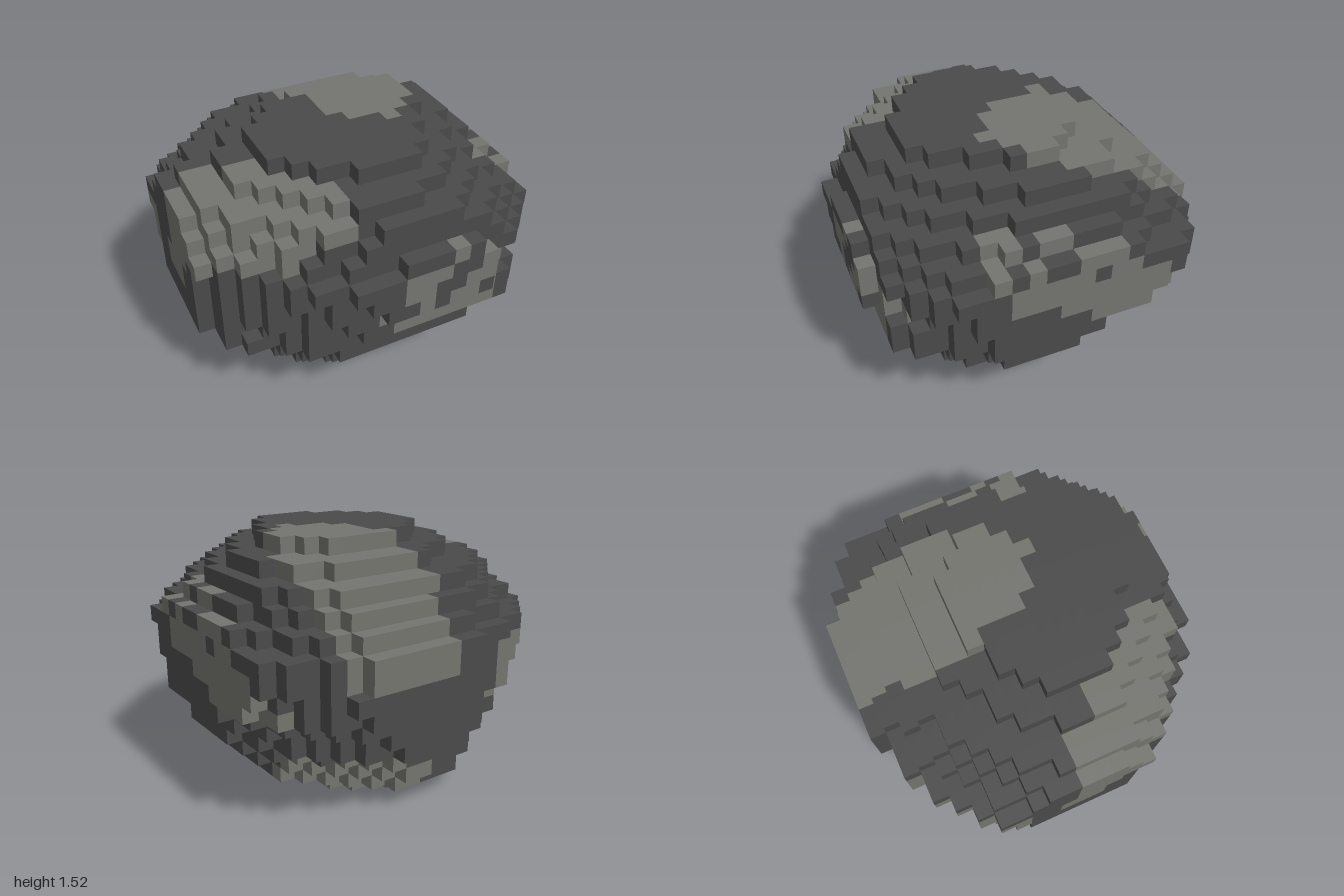
import * as THREE from 'three';

const N = 21, LAYERS = 16, U = 2 / N;

// Extents of each layer from the ground up: x from, x to, z from, z to (in blocks)
const extents = [
  [7, 15, 5, 13], [4, 17, 3, 16], [2, 18, 2, 17], [1, 19, 2, 18],
  [1, 20, 1, 19], [0, 20, 1, 19], [0, 21, 1, 20], [0, 21, 0, 20],
  [0, 21, 0, 21], [0, 21, 0, 21], [0, 21, 0, 21], [0, 21, 1, 21],
  [0, 20, 2, 20], [1, 19, 3, 20], [3, 18, 5, 19], [5, 16, 7, 17],
];
// Size in x and z of the worn corners: back -x, back +x, front -x, front +x
const corners = [
  [2, 2, 5, 5, 2, 2, 2, 3], [5, 4, 7, 7, 5, 5, 4, 5],
  [8, 7, 8, 9, 7, 7, 5, 6], [9, 7, 8, 9, 8, 7, 6, 6],
  [9, 8, 8, 10, 8, 7, 5, 7], [9, 8, 8, 9, 7, 6, 4, 6],
  [9, 7, 6, 9, 10, 7, 4, 8], [10, 7, 6, 6, 9, 7, 4, 8],
  [10, 7, 6, 5, 11, 8, 7, 7], [10, 6, 7, 4, 10, 8, 7, 6],
  [10, 6, 7, 4, 9, 8, 7, 5], [10, 7, 6, 7, 12, 8, 8, 7],
  [9, 8, 5, 7, 10, 8, 5, 8], [8, 7, 4, 5, 10, 7, 6, 9],
  [7, 6, 4, 4, 7, 7, 7, 9], [6, 4, 3, 3, 6, 4, 4, 8],
];

// Light stone patches as boxes of blocks: x from, to, y from, to, z from, to
const patches = {
  topBackPatch: [
    [10, 17, 9, 16, 0, 9], [9, 10, 12, 16, 3, 8], [10, 16, 15, 16, 9, 11],
    [11, 15, 15, 16, 11, 12], [13, 14, 15, 16, 12, 13],
  ],
  shoulderPatch: [
    [0, 3, 11, 14, 10, 17], [3, 5, 11, 15, 12, 20], [5, 6, 12, 15, 12, 20],
    [6, 8, 13, 15, 14, 20], [0, 1, 10, 11, 10, 17],
  ],
  frontPatch: [
    [11, 16, 5, 6, 17, 21], [10, 17, 6, 7, 17, 21], [9, 11, 7, 8, 17, 21],
    [12, 17, 7, 8, 17, 21], [11, 12, 8, 9, 17, 21], [13, 15, 8, 9, 17, 21],
    [16, 18, 8, 9, 18, 21], [10, 12, 9, 10, 17, 21], [14, 17, 9, 10, 18, 21],
    [10, 13, 10, 11, 17, 21], [15, 16, 10, 11, 17, 21], [13, 14, 11, 12, 17, 21],
  ],
  sidePatch: [
    [18, 21, 7, 8, 3, 9], [18, 21, 8, 9, 4, 11], [18, 21, 9, 10, 4, 14],
    [18, 21, 10, 11, 6, 8], [18, 21, 10, 11, 9, 14], [18, 21, 11, 12, 7, 10],
    [18, 21, 11, 12, 12, 13], [18, 21, 11, 12, 14, 15],
    [18, 21, 12, 13, 10, 12], [18, 21, 12, 13, 13, 15],
  ],
  undersidePatch: [
    [10, 16, 0, 1, 5, 9], [10, 18, 1, 2, 3, 9], [10, 19, 2, 3, 2, 8],
    [12, 19, 3, 4, 2, 5], [12, 19, 3, 4, 6, 7],
  ],
  backCornerPatch: [[2, 6, 6, 10, 1, 6], [0, 2, 6, 10, 3, 7]],
  flankPatch: [[0, 1, 7, 9, 9, 12], [0, 1, 9, 10, 10, 13]],
  lowSpot: [[5, 6, 1, 3, 11, 18]],
};

// Is there a block at this grid cell?
function solid(i, j, k) {
  if (j < 0 || j >= LAYERS) return false;
  const [x0, x1, z0, z1] = extents[j];
  const x = i + 0.5, z = k + 0.5;
  if (x < x0 || x > x1 || z < z0 || z > z1) return false;
  for (let c = 0; c < 4; c++) {
    const wx = corners[j][c * 2], wz = corners[j][c * 2 + 1];
    const dx = wx - (c % 2 ? x1 - x : x - x0);
    const dz = wz - (c < 2 ? z - z0 : z1 - z);
    if (dx > 0 && dz > 0 && (dx / wx) ** 1.5 + (dz / wz) ** 1.5 > 1) return false;
  }
  return true;
}

function patchAt(i, j, k) {
  for (const [name, boxes] of Object.entries(patches)) {
    if (boxes.some(([a, b, c, d, e, f]) =>
      i >= a && i < b && j >= c && j < d && k >= e && k < f)) return name;
  }
  return 'boulder';
}

// Add one square for every open side of a block
function addBlock(out, cell) {
  for (let axis = 0; axis < 3; axis++) {
    for (const side of [0, 1]) {
      const next = [...cell];
      next[axis] += side ? 1 : -1;
      if (solid(...next)) continue;
      const u = (axis + 1) % 3, v = (axis + 2) % 3;
      const quad = [[0, 0], [1, 0], [1, 1], [0, 1]].map(([a, b]) => {
        const p = [...cell];
        p[axis] += side;
        p[u] += a;
        p[v] += b;
        return [p[0] * U - 1, p[1] * U, p[2] * U - 1];
      });
      if (!side) quad.reverse();
      for (const n of [0, 1, 2, 0, 2, 3]) out.push(...quad[n]);
    }
  }
}

export function createModel() {
  const group = new THREE.Group();
  group.name = 'blockBoulder';
  const darkStone = new THREE.MeshStandardMaterial({ color: 0x4a4a4a });
  darkStone.name = 'darkStone';
  const lightStone = new THREE.MeshStandardMaterial({ color: 0x74746f });
  lightStone.name = 'lightStone';

  // Sort the open faces into the boulder and its patches
  const parts = {};
  for (let j = 0; j < LAYERS; j++)
    for (let i = 0; i < N; i++)
      for (let k = 0; k < N; k++)
        if (solid(i, j, k)) addBlock(parts[patchAt(i, j, k)] ??= [], [i, j, k]);

  for (const [name, positions] of Object.entries(parts)) {
    if (!positions.length) continue;
    const geometry = new THREE.BufferGeometry();
    geometry.setAttribute('position', new THREE.Float32BufferAttribute(positions, 3));
    geometry.computeVertexNormals();
    const mesh = new THREE.Mesh(geometry, name === 'boulder' ? darkStone : lightStone);
    mesh.name = name;
    group.add(mesh);
  }
  return group;
}
